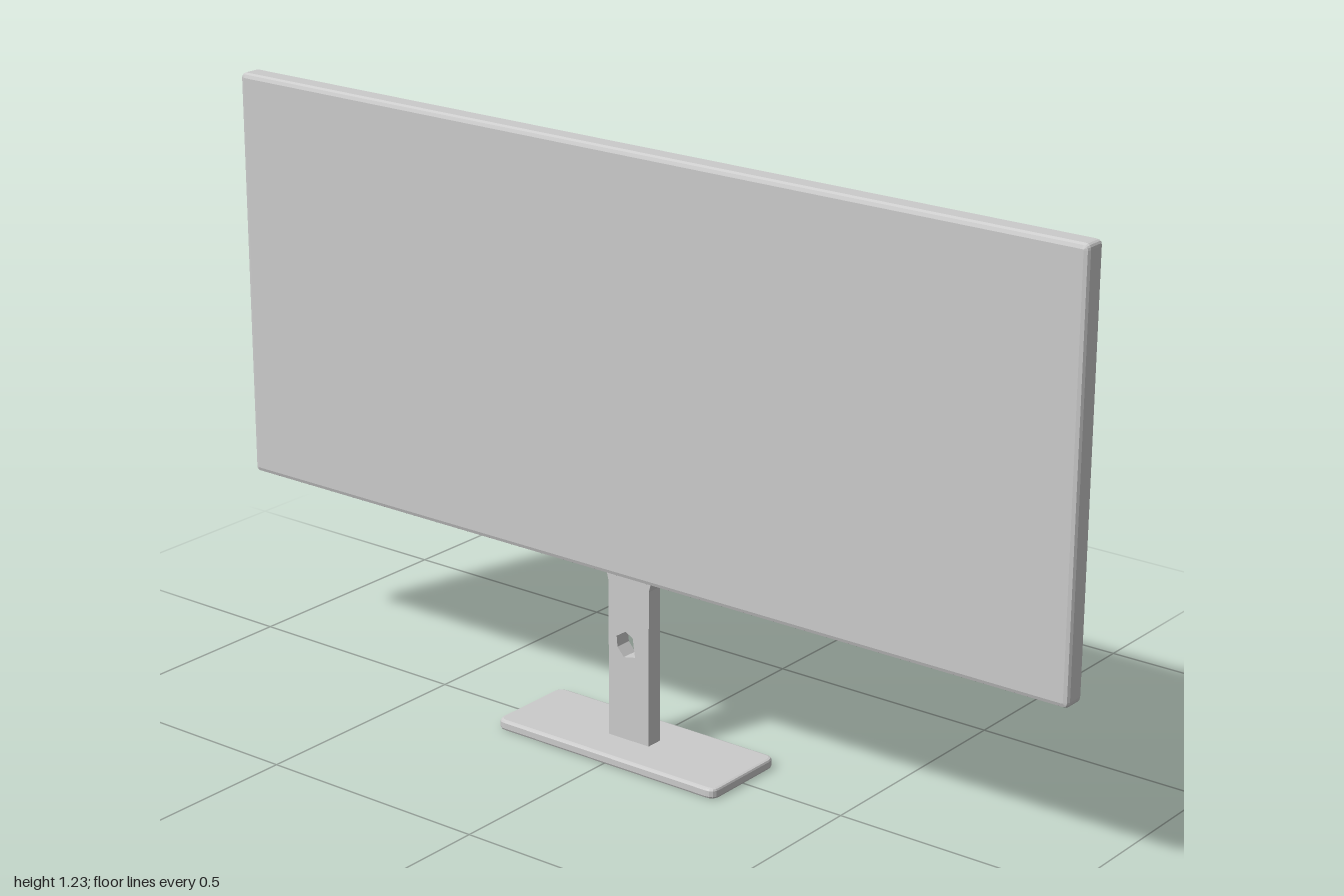
import * as THREE from 'three';

const material = new THREE.MeshStandardMaterial({ color: 0xcccccc, flatShading: true });

// Rectangle outline with rounded corners, centred on the origin
function roundedRect(w, h, r) {
  const s = new THREE.Shape();
  const x = w / 2, y = h / 2;
  s.moveTo(-x + r, -y);
  s.lineTo(x - r, -y);
  s.quadraticCurveTo(x, -y, x, -y + r);
  s.lineTo(x, y - r);
  s.quadraticCurveTo(x, y, x - r, y);
  s.lineTo(-x + r, y);
  s.quadraticCurveTo(-x, y, -x, y - r);
  s.lineTo(-x, -y + r);
  s.quadraticCurveTo(-x, -y, -x + r, -y);
  return s;
}

// Bevelled slab of a given total thickness, centred on z = 0
function slab(name, shape, thickness, bevelWidth, bevelDepth) {
  const geometry = new THREE.ExtrudeGeometry(shape, {
    depth: thickness - 2 * bevelDepth,
    bevelEnabled: bevelWidth > 0,
    bevelSize: bevelWidth,
    bevelThickness: bevelDepth,
    bevelOffset: -bevelWidth,
    bevelSegments: 2,
    curveSegments: 4,
  });
  geometry.translate(0, 0, bevelDepth - thickness / 2);
  const mesh = new THREE.Mesh(geometry, material);
  mesh.name = name;
  return mesh;
}

export function createModel() {
  const model = new THREE.Group();
  model.name = 'monitor';

  // Wide flat panel with softened edges
  const screen = slab('screen', roundedRect(2, 0.86, 0.012), 0.05, 0.01, 0.008);
  screen.position.set(0, 0.795, 0);

  // Upright neck with a small cable opening through it
  const neckShape = new THREE.Shape([
    [-0.05, 0.015], [0.05, 0.015], [0.05, 0.35], [0.058, 0.38], [-0.058, 0.38], [-0.05, 0.35],
  ].map(([x, y]) => new THREE.Vector2(x, y)));
  neckShape.holes.push(new THREE.Path([
    [-0.03, 0.238], [-0.008, 0.252], [0.01, 0.243], [0.016, 0.203], [-0.012, 0.197], [-0.028, 0.215],
  ].map(([x, y]) => new THREE.Vector2(x, y))));
  const neck = slab('neck', neckShape, 0.036, 0, 0);

  // Thin rectangular foot lying flat
  const base = slab('base', roundedRect(0.545, 0.2, 0.02), 0.022, 0.006, 0.005);
  base.rotation.x = -Math.PI / 2;
  base.position.y = 0.011;

  model.add(screen, neck, base);
  return model;
}
